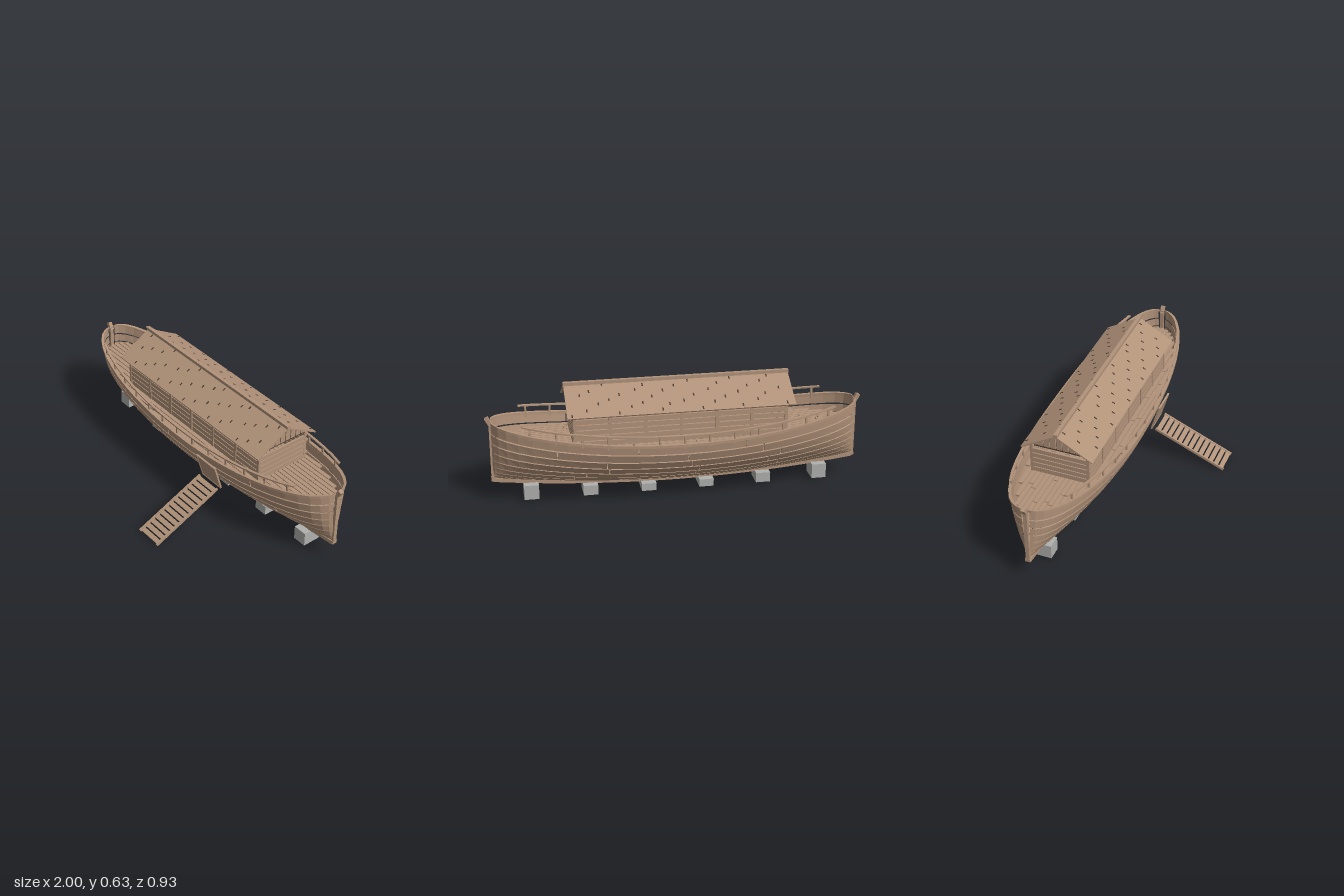
import * as THREE from 'three';
import { mergeGeometries } from 'three/addons/utils/BufferGeometryUtils.js';

const ZC = -0.195; // centreline of the ship
const L = 0.97; // half length of the planking
const wood = new THREE.MeshStandardMaterial({ color: 0xb2937a });
wood.name = 'weathered wood';
const dark = new THREE.MeshStandardMaterial({ color: 0x4a3d34 });
dark.name = 'dark wood';
const stone = new THREE.MeshStandardMaterial({ color: 0xb0b0ae });
stone.name = 'grey stone';

let seed = 7;
const rand = () => (seed = (seed * 16807) % 2147483647) / 2147483647;

// Hull lines: half beam, rim height and bottom height along x
const beam = (x) => 0.262 * Math.pow(Math.max(0, 1 - Math.pow(Math.abs(x) / 0.972, 2.2)), 1 / 2.2);
const rimY = (x) => 0.35 + 0.093 * (x / L) ** 2;
const bottomY = (x) => 0.066 + 0.062 * (x / L) ** 2;
const railY = (x) => 0.403 + 0.062 * (x / 0.82) ** 2;
const stations = Array.from({ length: 25 }, (_, i) => L * Math.sin(((i / 12 - 1) * Math.PI) / 2));

// Closed, flat-shaded solid through a row of equal rings
function loft(rings) {
  const n = rings[0].length, p = [];
  const tri = (a, b, c) => p.push(...a, ...b, ...c);
  for (let i = 0; i < rings.length - 1; i++) {
    for (let j = 0; j < n; j++) {
      const a = rings[i][j], b = rings[i][(j + 1) % n], c = rings[i + 1][(j + 1) % n], d = rings[i + 1][j];
      tri(a, b, c);
      tri(a, c, d);
    }
  }
  const first = rings[0], last = rings[rings.length - 1];
  for (let j = 1; j < n - 1; j++) {
    tri(first[0], first[j + 1], first[j]);
    tri(last[0], last[j], last[j + 1]);
  }
  // Turn the faces outward when the enclosed volume is negative
  const v = (k) => new THREE.Vector3(p[k] - first[0][0], p[k + 1] - first[0][1], p[k + 2] - first[0][2]);
  let volume = 0;
  for (let k = 0; k < p.length; k += 9) volume += v(k).dot(v(k + 3).cross(v(k + 6)));
  if (volume < 0) {
    for (let k = 0; k < p.length; k += 9) {
      for (let m = 0; m < 3; m++) [p[k + 3 + m], p[k + 6 + m]] = [p[k + 6 + m], p[k + 3 + m]];
    }
  }
  const g = new THREE.BufferGeometry();
  g.setAttribute('position', new THREE.Float32BufferAttribute(p, 3));
  g.computeVertexNormals();
  return g;
}

function box(w, h, d, x, y, z) {
  return new THREE.BoxGeometry(w, h, d).translate(x, y, z);
}

// Rectangular bar following a path (x -> y, z)
function bar(xs, yOf, zOf, h, d) {
  return loft(xs.map((x) => {
    const y = yOf(x), z = zOf(x);
    return [[x, y - h / 2, z - d / 2], [x, y + h / 2, z - d / 2], [x, y + h / 2, z + d / 2], [x, y - h / 2, z + d / 2]];
  }));
}

// Point on the hull skin; s runs from keel (0) to rim (1)
function skin(x, s, side, inner) {
  const t = 1 - Math.cos((s * Math.PI) / 2);
  const w = beam(x) * Math.pow(1 - Math.pow(1 - t, 1.8), 0.65) * (inner ? 0.955 : 1);
  const y = bottomY(x) + t * (rimY(x) - bottomY(x)) + (inner ? 0.011 * (1 - t) : 0);
  return [x, y, ZC + side * w];
}

function hullPlanks(side) {
  const geos = [], rows = 9, gap = 0.008;
  for (let r = 0; r < rows; r++) {
    const s0 = r / rows + gap, s1 = (r + 1) / rows - gap;
    let x0 = -L;
    while (x0 < L) {
      let x1 = x0 + 0.3 + rand() * 0.4;
      if (x1 > L - 0.2) x1 = L;
      const xs = [x0, ...stations.filter((x) => x > x0 + 0.002 && x < x1 - 0.002), x1];
      geos.push(loft(xs.map((x) => [skin(x, s0, side), skin(x, s1, side), skin(x, s1, side, true), skin(x, s0, side, true)])));
      x0 = x1 === L ? L : x1 + 0.006;
    }
  }
  return geos;
}

function deckPlanks() {
  const geos = [], pitch = 0.0265;
  for (let i = -9; i < 9; i++) {
    const z = (i + 0.5) * pitch;
    const edge = Math.abs(z) + pitch / 2;
    const end = 0.955 * Math.pow(1 - Math.pow(Math.min(1, edge / 0.245), 2.2), 1 / 2.2);
    let x0 = -end;
    while (x0 < end) {
      let x1 = x0 + 0.15 + rand() * 0.3;
      if (x1 > end - 0.1) x1 = end;
      geos.push(box(x1 - x0, 0.01, pitch - 0.004, (x0 + x1) / 2, 0.333, ZC + z));
      x0 = x1 === end ? end : x1 + 0.005;
    }
  }
  return geos;
}

function cabinWalls() {
  const geos = [];
  // Horizontal siding on all four walls
  for (let i = 0; i < 5; i++) {
    const y = 0.353 + i * 0.03;
    for (const s of [-1, 1]) {
      geos.push(box(1.11, 0.025, 0.01, 0, y, ZC + s * 0.155));
      geos.push(box(0.01, 0.025, 0.31, s * 0.555, y, ZC));
    }
  }
  // Wall posts
  for (const s of [-1, 1]) {
    for (const x of [-0.552, -0.37, -0.185, 0, 0.185, 0.37, 0.552]) {
      geos.push(box(0.016, 0.172, 0.016, x, 0.424, ZC + s * 0.156));
    }
  }
  return geos;
}

function gableBoards() {
  const geos = [];
  for (const s of [-1, 1]) {
    for (let i = -4; i <= 4; i++) {
      const top = 0.612 - Math.max(0, Math.abs(i) * 0.035 - 0.006) * 0.58;
      geos.push(box(0.01, top - 0.51, 0.029, s * 0.55, (top + 0.51) / 2, ZC + i * 0.035));
    }
  }
  return geos;
}

export function createModel() {
  const model = new THREE.Group();
  const add = (name, geos, mat, parent = model) => {
    const list = [].concat(geos).map((g) => {
      const flat = g.index ? g.toNonIndexed() : g;
      flat.deleteAttribute('uv');
      return flat;
    });
    const mesh = new THREE.Mesh(mergeGeometries(list), mat);
    mesh.name = name;
    parent.add(mesh);
    return mesh;
  };

  // Hull sides, rim and railings
  for (const [side, label] of [[1, 'front'], [-1, 'back']]) {
    add(label + 'HullPlanks', hullPlanks(side), wood);
    add(label + 'Rim', bar(stations, (x) => rimY(x) + 0.003, (x) => ZC + side * beam(x), 0.014, 0.018), wood);
    const xs = Array.from({ length: 21 }, (_, i) => -0.82 + i * 0.082);
    const rail = [bar(xs, railY, (x) => ZC + side * (beam(x) - 0.004), 0.008, 0.014)];
    for (let i = -6; i <= 6; i++) {
      const x = i * 0.13, h = railY(x) - rimY(x) + 0.015;
      rail.push(box(0.01, h, 0.01, x, railY(x) - h / 2, ZC + side * (beam(x) - 0.006)));
    }
    add(label + 'Railing', rail, wood);
  }

  // Keel and the stem post at each end
  add('keel', bar(stations, (x) => bottomY(x) - 0.006, () => ZC, 0.022, 0.026), wood);
  for (const s of [-1, 1]) {
    const post = [box(0.016, 0.33, 0.021, s * 0.972, 0.285, ZC), box(0.022, 0.018, 0.028, s * 0.97, 0.125, ZC)];
    post.push(new THREE.BoxGeometry(0.022, 0.045, 0.022).rotateZ(-s * 0.5).translate(s * 0.98, 0.449, ZC));
    add(s > 0 ? 'leftStem' : 'rightStem', post, wood);
  }
  add('deck', deckPlanks(), wood);

  // Cabin with a shaded band under the eaves
  add('cabinWalls', cabinWalls(), wood);
  add('gableBoards', gableBoards(), wood);
  add('cabinEavesBand', box(1.09, 0.016, 0.29, 0, 0.502, ZC), dark);

  // Roof slopes with scattered nail slots
  const rise = 0.112, run = 0.195, angle = Math.atan2(rise, run), len = Math.hypot(rise, run);
  for (const s of [-1, 1]) {
    const slope = new THREE.Group();
    slope.name = s > 0 ? 'frontRoof' : 'backRoof';
    slope.position.set(-0.002, 0.508 + rise / 2, ZC + (s * run) / 2);
    slope.rotation.x = s * angle;
    add('roofPanel', box(1.185, 0.007, len, 0, 0, 0), wood, slope);
    const slots = [];
    for (let i = 0; i < 36; i++) {
      const x = -0.56 + (i + rand() * 0.8) * 0.0315;
      const z = (((i * 3) % 7) / 6 - 0.5) * 0.18 + (rand() - 0.5) * 0.015;
      slots.push(box(0.007, 0.002, 0.018, x, 0.0038, z));
    }
    add('roofSlots', slots, dark, slope);
    model.add(slope);
  }
  add('ridgeBeam', box(1.19, 0.022, 0.02, -0.002, 0.625, ZC), wood);

  // Boarding door leaning out from the side
  const door = new THREE.Group();
  door.name = 'door';
  door.position.set(0.262, 0.256, 0.052);
  door.rotation.x = Math.atan2(0.045, 0.155);
  add('doorPanel', box(0.148, 0.155, 0.006, 0, 0, 0), wood, door);
  const frame = [-1, 1].flatMap((s) => [
    box(0.008, 0.16, 0.01, s * 0.074, 0, 0),
    box(0.155, 0.008, 0.01, 0, s * 0.076, 0),
  ]);
  add('doorFrame', frame, wood, door);
  model.add(door);

  // Ramp with cross slats
  const ramp = new THREE.Group();
  ramp.name = 'ramp';
  ramp.position.set(0.262, 0.0965, 0.256);
  ramp.rotation.x = Math.atan2(0.176, 0.405);
  const rampLen = 0.442;
  add('rampRails', [-1, 1].map((s) => box(0.01, 0.014, rampLen, s * 0.073, 0, 0)), wood, ramp);
  const slats = [];
  for (let i = 0; i < 13; i++) slats.push(box(0.14, 0.007, 0.026, 0, 0.001, (i - 6) * 0.0338));
  add('rampSlats', slats, wood, ramp);
  model.add(ramp);

  // Support blocks under the keel
  for (let i = 0; i < 6; i++) {
    const x = -0.778 + i * 0.311, top = bottomY(x) - 0.014;
    add('supportBlock', box(0.078, top - 0.012, 0.104, x, (top + 0.012) / 2, ZC), stone);
  }
  return model;
}
